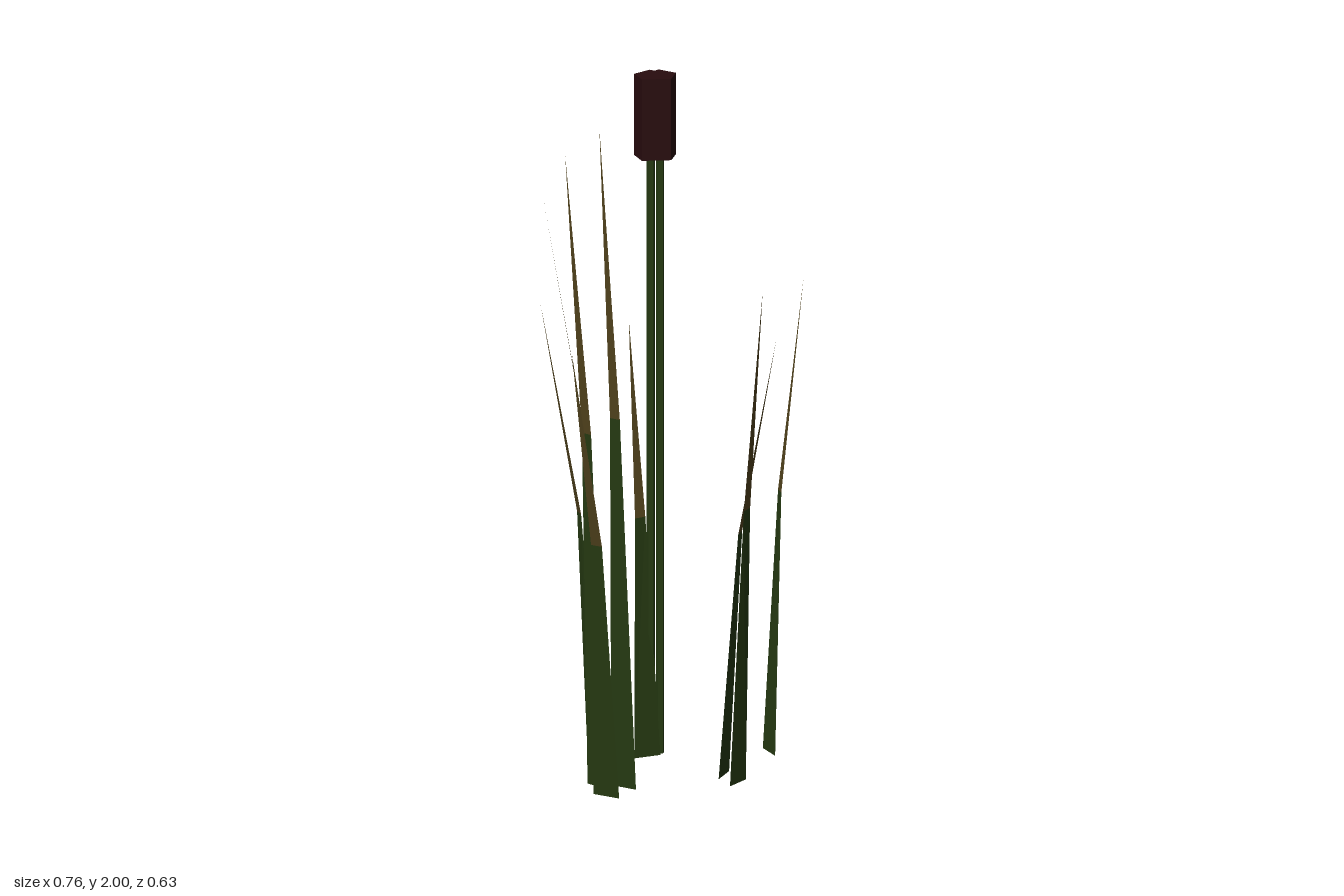
import * as THREE from 'three';

const green = new THREE.MeshStandardMaterial({ color: 0x263a12, side: THREE.DoubleSide });
green.name = 'leaf green';
const straw = new THREE.MeshStandardMaterial({ color: 0x52431d, side: THREE.DoubleSide });
straw.name = 'dry straw';
const brown = new THREE.MeshStandardMaterial({ color: 0x280c0e });
brown.name = 'dark brown';

// Each blade: base edge, bend edge and tip as [x, z], then tip height
const BLADES = [
  [[-0.10, -0.175], [-0.025, -0.20], [-0.095, -0.217], [-0.065, -0.232], [-0.105, -0.315], 1.25],
  [[0.266, -0.24], [0.295, -0.167], [0.308, -0.23], [0.315, -0.20], [0.38, -0.24], 1.38],
  [[-0.185, -0.10], [-0.17, -0.022], [-0.238, -0.068], [-0.24, -0.036], [-0.366, -0.028], 1.70],
  [[-0.24, 0.034 - 0.068], [-0.205, 0.04], [-0.275, 0.007], [-0.266, 0.038], [-0.383, 0.078], 1.43],
  [[-0.248, 0.038], [-0.199, 0.097], [-0.267, 0.078], [-0.243, 0.103], [-0.319, 0.144], 1.89],
  [[-0.183, 0.058], [-0.117, 0.105], [-0.19, 0.105], [-0.164, 0.125], [-0.226, 0.185], 1.98],
  [[-0.238, 0.134], [-0.17, 0.18], [-0.25, 0.193], [-0.221, 0.213], [-0.313, 0.311], 1.36],
  [[0.156, -0.042], [0.121, 0.03], [0.19, -0.005], [0.176, 0.032], [0.28, 0.062], 1.30],
  [[0.197, 0.036], [0.148, 0.095], [0.207, 0.064], [0.187, 0.095], [0.238, 0.115], 1.46],
];
const BEND = 0.555;

// Flat polygon piece from a list of triangle corners
function sheet(corners, material, name) {
  const geometry = new THREE.BufferGeometry().setFromPoints(corners);
  geometry.computeVertexNormals();
  const mesh = new THREE.Mesh(geometry, material);
  mesh.name = name;
  return mesh;
}

// Green lower strip that bends into a pointed dry tip
function makeBlade([a, b, c, d, t, height]) {
  const at = ([x, z], y) => new THREE.Vector3(x, y, z);
  const bend = height * BEND;
  const [A, B, C, D, T] = [at(a, 0), at(b, 0), at(c, bend), at(d, bend), at(t, height)];
  const blade = new THREE.Group();
  blade.name = 'blade';
  blade.add(sheet([A, B, D, A, D, C], green, 'bladeBase'));
  blade.add(sheet([C, D, T], straw, 'bladeTip'));
  return blade;
}

// Five-sided upright post, one corner pointing to the back
function post(radius, bottom, top, material, name) {
  const geometry = new THREE.CylinderGeometry(radius, radius, top - bottom, 5, 1, false, Math.PI)
    .translate(0, (top + bottom) / 2, 0).toNonIndexed();
  geometry.computeVertexNormals();
  const mesh = new THREE.Mesh(geometry, material);
  mesh.name = name;
  return mesh;
}

export function createModel() {
  const reeds = new THREE.Group();
  reeds.name = 'reeds';
  for (const blade of BLADES) reeds.add(makeBlade(blade));

  // Two overlapping bulrushes
  for (const x of [-0.05, -0.024]) {
    const bulrush = new THREE.Group();
    bulrush.name = 'bulrush';
    bulrush.add(post(0.012, 0, 1.77, green, 'stem'));
    bulrush.add(post(0.048, 1.76, 2, brown, 'seedHead'));
    bulrush.position.set(x, 0, -0.222);
    reeds.add(bulrush);
  }
  return reeds;
}
